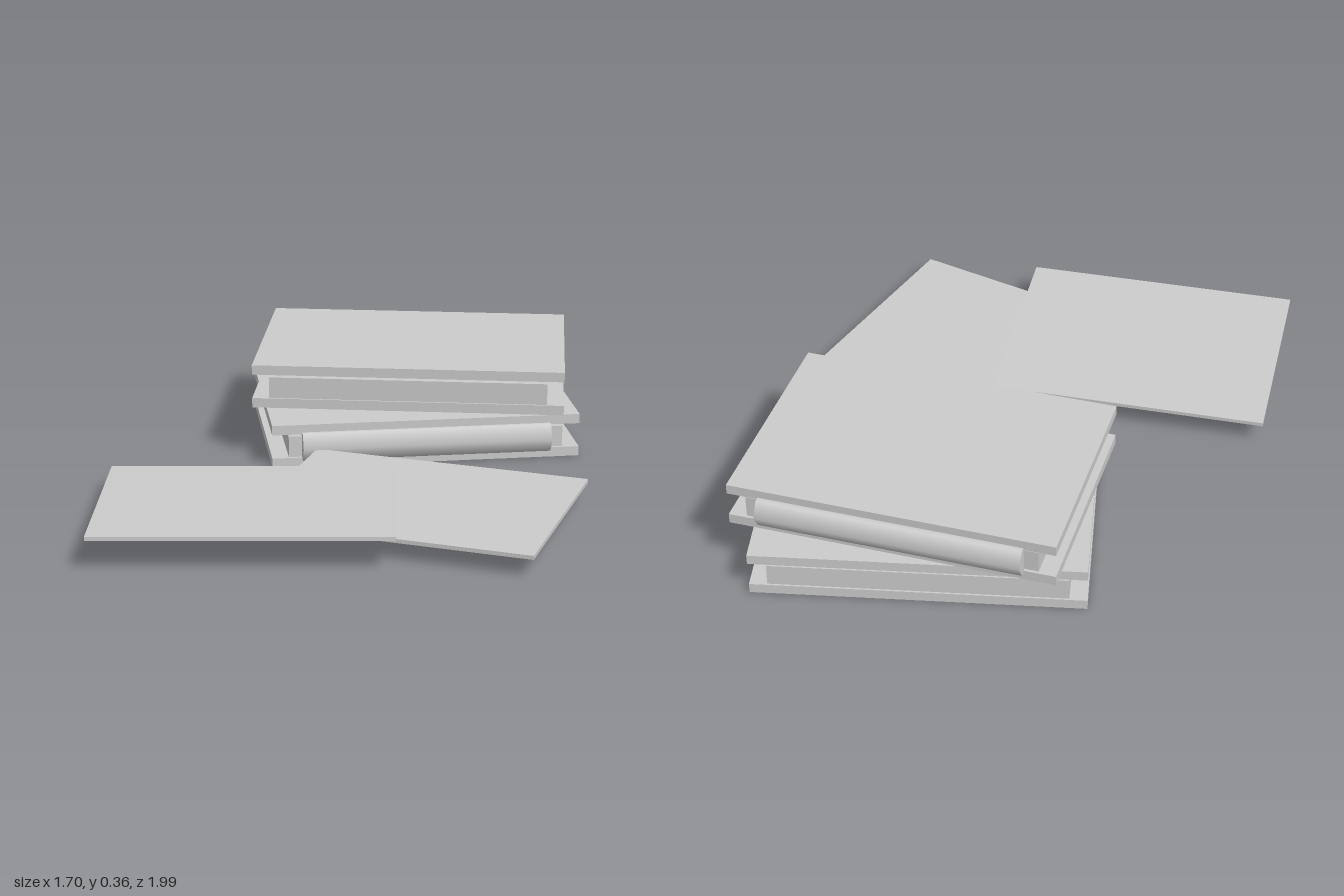
import * as THREE from 'three';

const material = new THREE.MeshStandardMaterial({ color: 0xcccccc });

// Box centred on x and z, with its underside at y
function slab(name, w, h, d, x, y, z) {
  const mesh = new THREE.Mesh(new THREE.BoxGeometry(w, h, d), material);
  mesh.name = name;
  mesh.position.set(x, y + h / 2, z);
  return mesh;
}

// Closed book lying flat, spine towards local -z
function makeBook(name, x, y, z, turn) {
  const book = new THREE.Group();
  book.name = name;
  book.add(slab('bottomCover', 1.143, 0.036, 0.782, 0, 0, 0));
  book.add(slab('topCover', 1.143, 0.036, 0.782, 0, 0.126, 0));
  book.add(slab('pages', 1.02, 0.081, 0.765, 0, 0.034, 0.002));

  // Six-sided rounded spine between the covers
  const spineGeometry = new THREE.CylinderGeometry(0.06, 0.06, 0.922, 6);
  spineGeometry.rotateZ(Math.PI / 2);
  const spine = new THREE.Mesh(spineGeometry, material);
  spine.name = 'spine';
  spine.position.set(0, 0.081, -0.379);
  book.add(spine);

  book.position.set(x, y, z);
  book.rotation.y = turn;
  return book;
}

// Thin loose sheet, pivoting about its middle
function makeSheet(name, x, y, z, pitch, turn, roll) {
  const sheet = slab(name, 1.01, 0.014, 0.768, x, 0, z);
  sheet.position.y = y;
  sheet.rotation.set(pitch, turn, roll);
  return sheet;
}

export function createModel() {
  const model = new THREE.Group();
  model.name = 'booksAndSheets';

  // Two stacked books, spines on opposite sides
  const lowerBook = makeBook('lowerBook', 0.23, 0, -0.5225, Math.PI + 0.134);
  lowerBook.add(slab('coverPlate', 0.19, 0.006, 0.43, 0.316, 0.162, 0.015));
  model.add(lowerBook);
  model.add(makeBook('upperBook', 0.2375, 0.196, -0.5225, -0.0744));

  // Loose sheets in front, one resting tilted over the other
  model.add(makeSheet('lowerSheet', 0.24, 0.071, 0.4725, 0, -0.318, 0));
  model.add(makeSheet('upperSheet', -0.344, 0.102, 0.568, -0.037, -0.01, 0.006));

  return model;
}
